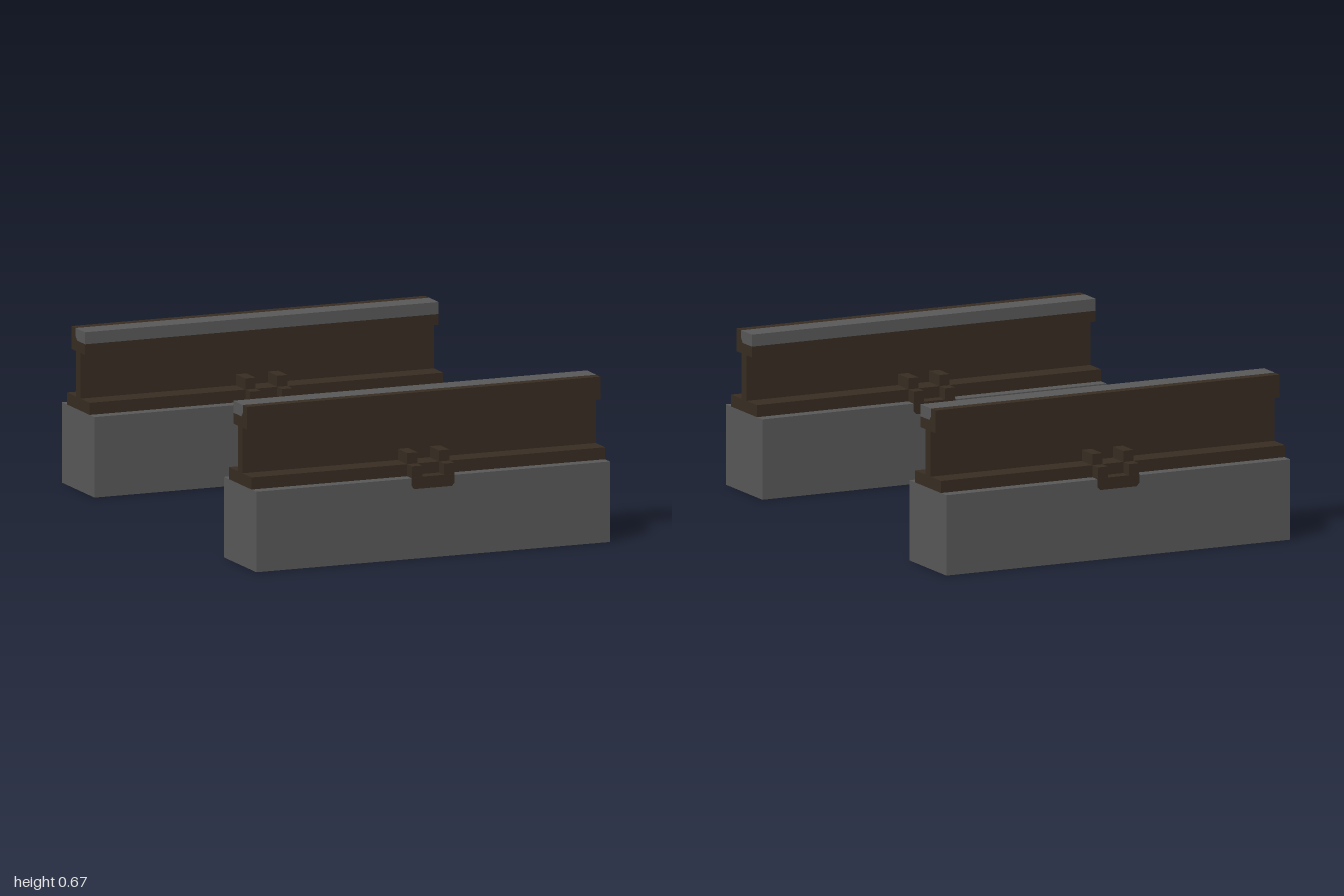
import * as THREE from 'three';

const LENGTH = 1.57;
const CENTRE = 0.8335; // distance of each rail line from the middle

export function createModel() {
  const concrete = new THREE.MeshStandardMaterial({ color: 0x5a5a5a });
  concrete.name = 'grey';
  const rust = new THREE.MeshStandardMaterial({ color: 0x382d22 });
  rust.name = 'rusty brown';

  const add = (parent, name, geometry, material) => {
    const mesh = new THREE.Mesh(geometry, material);
    mesh.name = name;
    parent.add(mesh);
    return mesh;
  };
  const box = (parent, name, material, [x0, x1], [y0, y1], [z0, z1]) => {
    const mesh = add(parent, name, new THREE.BoxGeometry(x1 - x0, y1 - y0, z1 - z0), material);
    mesh.position.set((x0 + x1) / 2, (y0 + y1) / 2, (z0 + z1) / 2);
    return mesh;
  };
  const toShape = (points) => new THREE.Shape(points.map(([a, b]) => new THREE.Vector2(a, b)));
  // Sweeps a (z, y) profile along x
  const sweep = (points) => {
    const g = new THREE.ExtrudeGeometry(toShape(points), { depth: LENGTH, bevelEnabled: false });
    return g.translate(0, 0, -LENGTH / 2).rotateY(-Math.PI / 2);
  };

  // Clip on the +z side of a rail line, in local z
  function createClip() {
    const clip = new THREE.Group();
    clip.name = 'railClip';
    // Plate folded over the edge of the beam
    box(clip, 'clipBasePlate', rust, [-0.093, 0.093], [0.333, 0.339], [0.11, 0.1675]);
    const flap = toShape([
      [-0.095, 0.339], [-0.095, 0.303], [-0.083, 0.29],
      [0.083, 0.29], [0.095, 0.303], [0.095, 0.339],
    ]);
    const flapGeometry = new THREE.ExtrudeGeometry(flap, { depth: 0.004, bevelEnabled: false });
    add(clip, 'clipFlap', flapGeometry, rust).position.z = 0.164;
    // Stepped prongs that hold down the rail foot
    for (const s of [-1, 1]) {
      const xs = [s * 0.0475, s * 0.094].sort((a, b) => a - b);
      box(clip, 'prongHeel', rust, xs, [0.335, 0.385], [0.116, 0.167]);
      box(clip, 'prongToe', rust, xs, [0.384, 0.431], [0.022, 0.117]);
    }
    return clip;
  }

  function createRailLine() {
    const line = new THREE.Group();
    line.name = 'railLine';
    box(line, 'concreteBeam', concrete,
      [-LENGTH / 2, LENGTH / 2], [0, 0.335], [-0.1665, 0.1665]);

    // Foot, web and head, with a notch on the inner upper edge
    add(line, 'rail', sweep([
      [-0.117, 0.335], [0.117, 0.335], [0.117, 0.385], [0.022, 0.385],
      [0.022, 0.575], [0.07, 0.575], [0.07, 0.67], [0.027, 0.67],
      [0.027, 0.636], [0.012, 0.62], [-0.07, 0.62], [-0.07, 0.575],
      [-0.022, 0.575], [-0.022, 0.385], [-0.117, 0.385],
    ]), rust);
    // Polished running surface filling the notch
    add(line, 'runningSurface', sweep([
      [-0.07, 0.62], [0.012, 0.62], [0.027, 0.636], [0.027, 0.67], [-0.07, 0.67],
    ]), concrete);

    const outer = createClip();
    const inner = createClip();
    inner.rotation.y = Math.PI;
    line.add(outer, inner);
    line.position.z = CENTRE;
    return line;
  }

  // Two rail lines facing each other
  const model = new THREE.Group();
  model.name = 'railTrack';
  for (const angle of [0, Math.PI]) {
    const side = new THREE.Group();
    side.name = angle ? 'backTrack' : 'frontTrack';
    side.add(createRailLine());
    side.rotation.y = angle;
    model.add(side);
  }
  return model;
}
